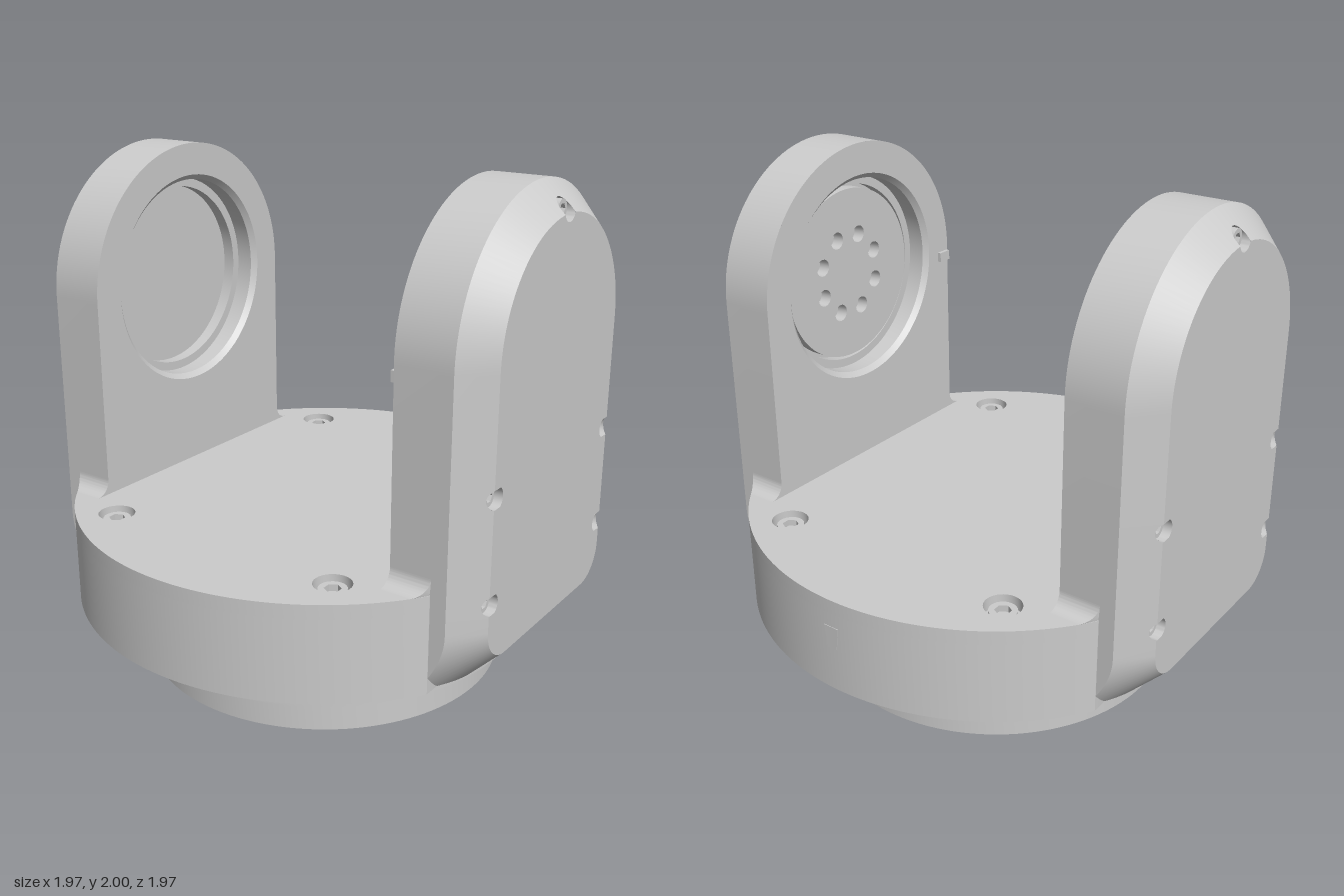
import * as THREE from 'three';
import { toCreasedNormals } from 'three/addons/utils/BufferGeometryUtils.js';

const mat = new THREE.MeshStandardMaterial({ color: 0xcccccc });
const matTwoSided = new THREE.MeshStandardMaterial({ color: 0xcccccc, side: THREE.DoubleSide });
const V2 = (x, y) => new THREE.Vector2(x, y);
const TAU = Math.PI * 2;

function add(parent, name, geo, material = mat) {
  const mesh = new THREE.Mesh(toCreasedNormals(geo, 0.5), material);
  mesh.name = name;
  parent.add(mesh);
  return mesh;
}

// Circle outline, optionally flattened at |x| = cx or |y| = cy
function disc(r, cx = 9, cy = 9, n = 128) {
  const pts = [];
  for (let i = 0; i < n; i++) {
    const t = (i / n) * TAU;
    pts.push(V2(THREE.MathUtils.clamp(r * Math.cos(t), -cx, cx), THREE.MathUtils.clamp(r * Math.sin(t), -cy, cy)));
  }
  return new THREE.Shape(pts);
}

function hole(x, y, r, n = 24) {
  const pts = [];
  for (let i = 0; i < n; i++) pts.push(V2(x + r * Math.cos((i / n) * TAU), y + r * Math.sin((i / n) * TAU)));
  return new THREE.Path(pts);
}

const holeRing = (n, R, r, offset = 0) => Array.from({ length: n }, (_, i) => {
  const t = offset + (i / n) * TAU;
  return hole(R * Math.cos(t), R * Math.sin(t), r, 16);
});

const extrude = (shape, depth) => new THREE.ExtrudeGeometry(shape, { depth, bevelEnabled: false, curveSegments: 48 });

// Horizontal plate between two heights
function slab(parent, name, shape, y0, y1, holes = []) {
  shape.holes.push(...holes);
  return add(parent, name, extrude(shape, y1 - y0).rotateX(-Math.PI / 2).translate(0, y0, 0));
}

// Socket head screw, head facing +z with its top at z = 0
function screw(r) {
  const g = new THREE.Group();
  g.name = 'screw';
  const head = disc(r, 9, 9, 24);
  head.holes.push(hole(0, 0, r * 0.6, 6));
  add(g, 'screwHead', extrude(head, 0.03).translate(0, 0, -0.03));
  add(g, 'screwSocketFloor', new THREE.CircleGeometry(r, 24).translate(0, 0, -0.025));
  return g;
}

// Arm dimensions
const FACE = 0.44, HALF = 0.545, TOP = 1.455, FACE_Y = 0.42, BASE_Y = 0.31, CORNER = 0.13;
const ZF = 0.985, Z_IN = 0.66, HOLE_R = 0.04;
const screwSpots = [[0, 1.905], [0.42, 1.03], [-0.42, 1.03], [0.42, 0.645], [-0.42, 0.645]];

// Face edge (f), its normal (n) and the matching outer edge (o), counter-clockwise
function armContour() {
  const half = [];
  const put = (fx, fy, nx, ny, ox, oy) => half.push({ f: V2(fx, fy), n: V2(nx, ny), o: V2(ox, oy) });
  const bite = (c, w) => Array.from({ length: 15 }, (_, k) => {
    const i = k - 7;
    return c + w * (Math.abs(i) === 7 ? Math.sign(i) * 1.01 : 0.995 * Math.sin((i / 6) * Math.PI / 2));
  });
  const cx = FACE - CORNER, cy = FACE_Y + CORNER;
  put(0, FACE_Y, 0, -1, 0, BASE_Y);
  for (let i = 0; i <= 16; i++) {
    const t = -Math.PI / 2 + (i / 16) * Math.PI / 2, dx = Math.cos(t), dy = Math.sin(t);
    const k = Math.min(dx > 1e-6 ? (HALF - cx) / dx : 9, dy < -1e-6 ? (cy - BASE_Y) / -dy : 9);
    put(cx + CORNER * dx, cy + CORNER * dy, dx, dy, cx + k * dx, cy + k * dy);
  }
  for (const y of [...bite(0.645, 0.0346), 0.684, 0.686, ...bite(1.03, 0.0346)]) put(FACE, y, 1, 0, HALF, y);
  const angles = Array.from({ length: 29 }, (_, i) => (i / 28) * 1.47);
  angles.push(...bite(Math.PI / 2, 0.088).slice(0, 8));
  for (const t of angles) {
    const c = Math.cos(t), s = Math.sin(t);
    put(FACE * c, TOP + FACE * s, c, s, HALF * c, TOP + HALF * s);
  }
  const flip = (v) => V2(-v.x, v.y);
  const mirrored = half.slice(1, -1).reverse().map((p) => ({ f: flip(p.f), n: flip(p.n), o: flip(p.o) }));
  return [...half, ...mirrored];
}

// Arm shell: flat face, chamfer and side wall, with the screw holes cut into face and chamfer
function armShell(g) {
  const pos = [], facePts = [];
  const rows = armContour().map(({ f, n, o }) => {
    let t1 = 0, t2 = 0;
    for (const [x, y] of screwSpots) {
      const u = f.clone().sub(V2(x, y)), b = u.dot(n), q = b * b - u.lengthSq() + HOLE_R ** 2;
      if (u.length() < HOLE_R) { t1 = -b - Math.sqrt(q); t2 = -b + Math.sqrt(q); }
    }
    facePts.push(f.clone().addScaledVector(n, t1));
    const r = f.clone().addScaledVector(n, t2), zo = ZF - o.distanceTo(f);
    return [[r.x, r.y, ZF - t2], [o.x, o.y, zo], [o.x, o.y, o.y < 0.685 ? Math.min(0.8, zo) : Z_IN]];
  });
  rows.forEach((a, i) => {
    const b = rows[(i + 1) % rows.length];
    for (let k = 0; k < 2; k++) pos.push(...a[k], ...a[k + 1], ...b[k + 1], ...a[k], ...b[k + 1], ...b[k]);
  });
  const shell = new THREE.BufferGeometry();
  shell.setAttribute('position', new THREE.Float32BufferAttribute(pos, 3));
  add(g, 'armSides', shell);
  add(g, 'armFace', new THREE.ShapeGeometry(new THREE.Shape(facePts)).translate(0, 0, ZF));
}

function makeArm(name, withHub) {
  const g = new THREE.Group();
  g.name = name;
  armShell(g);

  // Screw wells, rims following the chamfer
  for (const [x, y] of screwSpots) {
    const well = new THREE.CylinderGeometry(HOLE_R, HOLE_R, 0.07, 32, 1, true).rotateX(Math.PI / 2).translate(x, y, ZF - 0.035);
    const p = well.attributes.position;
    for (let i = 0; i < p.count; i++) {
      if (p.getZ(i) < ZF - 0.01) continue;
      const out = y > TOP ? Math.hypot(p.getX(i), p.getY(i) - TOP) - FACE : Math.abs(p.getX(i)) - FACE;
      p.setZ(i, ZF - Math.max(0, out));
    }
    add(g, 'screwWell', well, matTwoSided);
    add(g, 'screwWellFloor', new THREE.CircleGeometry(HOLE_R, 24).translate(x, y, ZF - 0.065));
    const s = screw(0.034);
    s.position.set(x, y, ZF - 0.03);
    g.add(s);
  }

  // Inner face with the round bearing recess
  const inner = new THREE.Shape();
  inner.moveTo(-HALF, 0.66).lineTo(HALF, 0.66).lineTo(HALF, TOP);
  inner.absarc(0, TOP, HALF, 0, Math.PI, false);
  inner.holes.push(hole(0, TOP, 0.42, 96));
  add(g, 'armInnerFace', new THREE.ShapeGeometry(inner, 48).rotateY(Math.PI).translate(0, 0, Z_IN));
  const profile = [[0.42, 0], [0.4, 0.02], [0.4, 0.09], [0.365, 0.09], [0.365, 0.14], [0, 0.14]];
  const recess = new THREE.LatheGeometry(profile.map(([r, h]) => V2(r, h)), 96).rotateX(Math.PI / 2);
  add(g, 'bearingRecess', recess.translate(0, TOP, Z_IN), matTwoSided);
  if (withHub) {
    const hub = disc(0.35, 9, 9, 96);
    hub.holes.push(...holeRing(8, 0.165, 0.035, Math.PI / 8));
    add(g, 'driveHub', extrude(hub, 0.05).translate(0, TOP, Z_IN + 0.08));
    add(g, 'stopPin', new THREE.BoxGeometry(0.06, 0.04, 0.03).translate(-0.51, 1.415, 0.66));
  }

  // Concave fillets between arm and turntable, trimmed to the round edge
  for (const side of [-1, 1]) {
    const s = new THREE.Shape();
    s.moveTo(0.53, 0.68).lineTo(0.605, 0.68).lineTo(0.605, 0.685);
    s.absarc(0.605, 0.745, 0.06, -Math.PI / 2, -Math.PI, true);
    s.lineTo(0.53, 0.745);
    const geo = new THREE.ExtrudeGeometry(s, { depth: 0.165, bevelEnabled: false, curveSegments: 12 }).translate(0, 0, Z_IN);
    const p = geo.attributes.position;
    for (let i = 0; i < p.count; i++) p.setZ(i, Math.min(p.getZ(i), Math.sqrt(0.985 ** 2 - p.getX(i) ** 2)));
    if (side < 0) geo.rotateY(Math.PI).translate(0, 0, 0).scale(1, 1, -1);
    add(g, 'armFillet', geo, matTwoSided);
  }
  return g;
}

export function createModel() {
  const model = new THREE.Group();
  model.name = 'yokeBracket';

  // Foot: bottom ring, body ring and thin flange
  const BORE = 0.457;
  slab(model, 'bottomRing', disc(0.58), 0, 0.03, [hole(0, 0, BORE, 96), ...holeRing(8, 0.515, 0.024)]);
  slab(model, 'footRing', disc(0.71), 0.03, 0.18, [hole(0, 0, BORE, 96)]);
  slab(model, 'flange', disc(0.795), 0.18, 0.198, [hole(0, 0, BORE, 96), ...holeRing(8, 0.752, 0.02, Math.PI / 3)]);

  // Finned neck with flat left and right sides
  const teeth = 60, pts = [];
  for (let i = 0; i < teeth; i++) {
    [[0, 0.6], [0.55, 0.6], [0.551, 0.565], [0.999, 0.565]].forEach(([k, r]) => {
      const t = ((i + k) / teeth) * TAU;
      const flat = Math.abs(0.6 * Math.cos(t)) > 0.545;
      const R = flat ? 0.6 : r;
      pts.push(V2(THREE.MathUtils.clamp(R * Math.cos(t), -0.545, 0.545), R * Math.sin(t)));
    });
  }
  slab(model, 'finnedNeck', new THREE.Shape(pts), 0.198, 0.64, [hole(0, 0, BORE, 96)]);
  for (let i = 0; i < 6; i++) {
    const t = (i / 6) * TAU + 0.25;
    add(model, 'boreBar', new THREE.CylinderGeometry(0.03, 0.03, 0.6, 16).translate(0.45 * Math.cos(t), 0.335, 0.45 * Math.sin(t)));
  }

  // Turntable: roof plate, rim, inner ring and radial ribs
  const spots = [[0.66, 0.505], [-0.66, 0.505], [0.66, -0.505], [-0.66, -0.505]];
  const asHole = (shape) => new THREE.Path(shape.getPoints());
  slab(model, 'turntableTop', disc(0.985, 9, 0.82, 256), 0.63, 0.685, spots.map(([x, y]) => hole(x, y, 0.07, 32)));
  slab(model, 'turntableRim', disc(0.985, 9, 0.82, 256), 0.31, 0.63, [asHole(disc(0.945, 9, 0.785))]);
  slab(model, 'innerRing', disc(0.885, 9, 0.73), 0.34, 0.635, [asHole(disc(0.865, 9, 0.71))]);
  for (let i = 0; i < 40; i++) {
    const t = ((i + 0.5) / 40) * TAU;
    const len = Math.min(0.955, 0.79 / Math.abs(Math.sin(t))) - 0.56;
    add(model, 'rib', new THREE.BoxGeometry(len, 0.295, 0.018).translate(0.56 + len / 2, 0.487, 0).rotateY(t));
  }
  for (const [x, z] of spots) {
    add(model, 'counterboreFloor', new THREE.CylinderGeometry(0.085, 0.085, 0.03, 32).translate(x, 0.62, z));
    const s = screw(0.052);
    s.rotation.x = -Math.PI / 2;
    s.position.set(x, 0.667, z);
    model.add(s);
  }

  // Small tapered index mark on the rim
  const mark = new THREE.Shape([V2(-0.02, 0.485), V2(0.02, 0.485), V2(0.032, 0.575), V2(-0.032, 0.575)]);
  add(model, 'indexMark', extrude(mark, 0.01).rotateY(Math.PI / 2).translate(0.977, 0, 0));

  // Two upright arms facing each other
  model.add(makeArm('frontArm', true));
  const back = makeArm('backArm', false);
  back.rotation.y = Math.PI;
  model.add(back);
  return model;
}
